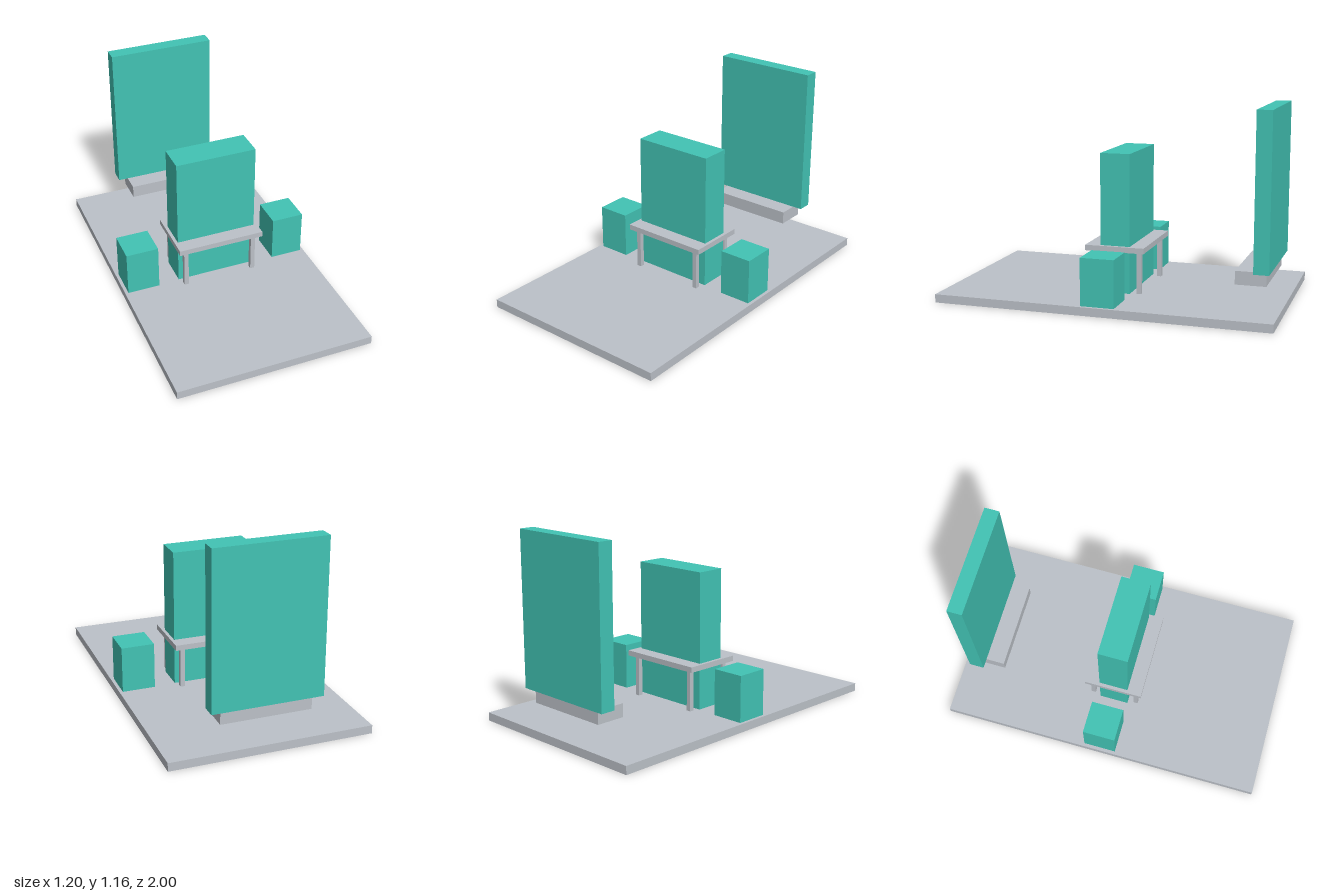
import * as THREE from 'three';

export function createModel() {
  const group = new THREE.Group();
  const teal = new THREE.MeshStandardMaterial({ color: 0x42c3b4 });
  teal.name = 'teal';
  const grey = new THREE.MeshStandardMaterial({ color: 0xbcc1c8 });
  grey.name = 'grey';

  // Box given by its centre in x and z, its bottom and its top
  const block = (name, material, x, z, width, depth, bottom, top) => {
    const mesh = new THREE.Mesh(new THREE.BoxGeometry(width, top - bottom, depth), material);
    mesh.position.set(x, (bottom + top) / 2, z);
    mesh.name = name;
    group.add(mesh);
  };

  // Floor slab
  block('floor', grey, 0, 0, 1.2, 2, 0, 0.05);

  // Table with a tall figure block passing through it
  block('tableTop', grey, 0, 0, 0.54, 0.36, 0.3, 0.333);
  block('centreBlock', teal, 0, 0, 0.5, 0.18, 0.005, 0.88);

  for (const side of [-1, 1]) {
    for (const end of [-1, 1]) {
      block('tableLeg', grey, side * 0.22, end * 0.14, 0.028, 0.028, 0.05, 0.3);
    }
    // Low blocks beside the table
    block('sideBlock', teal, side * 0.48, 0, 0.2, 0.2, 0.05, 0.33);
  }

  // Rear shelf and the panel standing on it
  block('rearShelf', grey, 0, -0.81, 0.54, 0.18, 0.163, 0.243);
  block('rearPanel', teal, 0, -0.88, 0.66, 0.09, 0.243, 1.163);

  return group;
}
